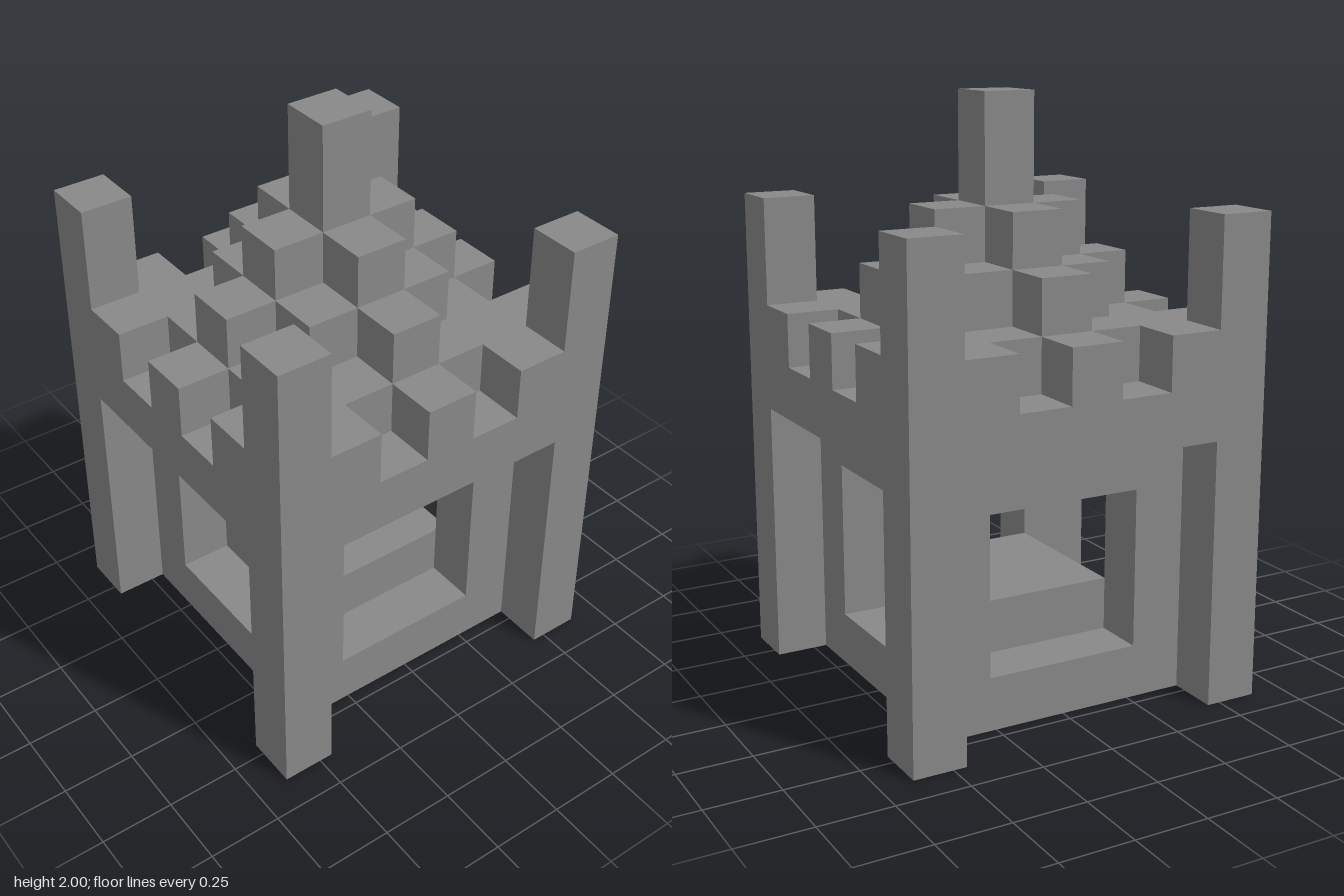
import * as THREE from 'three';

const U = 2 / 11; // one block

export function createModel() {
  const model = new THREE.Group();
  model.name = 'blockTower';
  const stone = new THREE.MeshStandardMaterial({ color: 0x888888 });
  stone.name = 'grey stone';

  // Box in block units: centre x, z; bottom and top y; width and depth
  function block(name, x, z, y0, y1, w = 1, d = 1) {
    const mesh = new THREE.Mesh(new THREE.BoxGeometry(w * U, (y1 - y0) * U, d * U), stone);
    mesh.position.set(x * U, ((y0 + y1) / 2) * U, z * U);
    mesh.name = name;
    model.add(mesh);
  }

  // Floor and the plinth inside the room
  block('floor', 0, 0, 0, 1, 5, 5);
  block('plinth', 0, 0, 1, 2, 3, 3);

  // Outer legs, wall corners and corner turrets
  for (const sx of [-1, 1]) {
    for (const sz of [-1, 1]) {
      block('cornerLeg', 3 * sx, 3 * sz, 0, 5);
      block('wallCorner', 2 * sx, 2 * sz, 1, 5);
      block('cornerTurret', 3 * sx, 3 * sz, 6, 9);
    }
  }

  // Lintels over the four windows
  for (const s of [-1, 1]) {
    block('windowLintel', 0, 2 * s, 4, 5, 3, 1);
    block('windowLintel', 2 * s, 0, 4, 5, 1, 3);
  }

  // Overhanging cornice and first roof step
  block('cornice', 0, 0, 5, 6, 7, 7);
  block('roofBase', 0, 0, 6, 7, 5, 5);

  // Battlements along each side
  for (const s of [-1, 1]) {
    for (const i of [-2, 0, 2]) {
      block('battlement', i, 3 * s, 6, 7);
      block('battlement', 3 * s, i, 6, 7);
    }
  }

  // Diamond-shaped roof steps, built row by row
  for (const [radius, y] of [[2, 7], [1, 8]]) {
    for (let z = -radius; z <= radius; z++) {
      block('roofStep', 0, z, y, y + 1, 2 * (radius - Math.abs(z)) + 1, 1);
    }
  }

  block('spire', 0, 0, 9, 11);
  return model;
}
